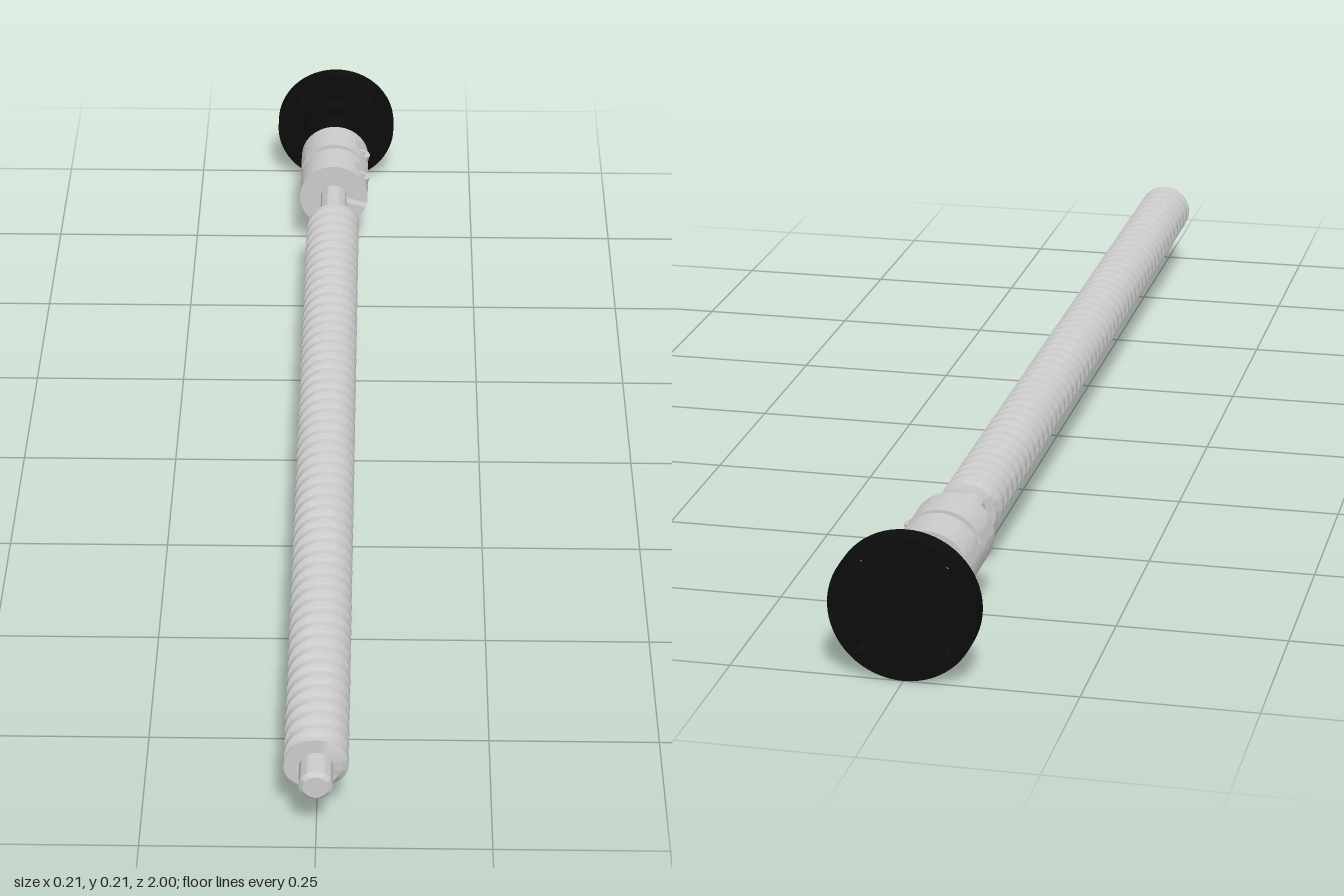
import * as THREE from 'three';
import { mergeGeometries, toCreasedNormals } from 'three/addons/utils/BufferGeometryUtils.js';

const steel = new THREE.MeshStandardMaterial({ color: 0xcccccc });
const black = new THREE.MeshStandardMaterial({ color: 0x0c0c0c });

function add(parent, name, geometry, material) {
  const mesh = new THREE.Mesh(geometry, material);
  mesh.name = name;
  parent.add(mesh);
  return mesh;
}

// Turned part along z; points are [radius, z] with z ascending
function turned(points, segments = 48) {
  const g = new THREE.LatheGeometry(points.map(([r, z]) => new THREE.Vector2(r, z)), segments);
  g.rotateX(Math.PI / 2);
  return toCreasedNormals(g, 0.5);
}

// Right-handed thread with a rounded groove, closed by flat ends
function threadGeometry(z0, z1) {
  const R = 0.046, depth = 0.011, pitch = 0.0308, land = 0.36, seg = 40, groove = 6;
  const radius = (z, a) => {
    let f = (z - z0) / pitch - a / (2 * Math.PI);
    f -= Math.floor(f + 1e-6);
    return f <= land ? R : R - depth * Math.max(0, Math.sin(Math.PI * (f - land) / (1 - land)));
  };
  const phases = [0];
  for (let k = 0; k < groove; k++) phases.push(land + (1 - land) * k / groove);
  const pos = [], idx = [], turns = Math.ceil((z1 - z0) / pitch);
  const put = (z, a) => {
    const r = radius(z, a);
    pos.push(r * Math.cos(a), r * Math.sin(a), z);
  };
  let rows = 0;
  for (let t = -1; t <= turns; t++) {
    for (const f of phases) {
      for (let j = 0; j <= seg; j++) {
        const z = z0 + (t + f + j / seg) * pitch;
        put(Math.min(z1, Math.max(z0, z)), (j / seg) * 2 * Math.PI);
      }
      rows++;
    }
  }
  const w = seg + 1;
  for (let i = 0; i < rows - 1; i++) {
    for (let j = 0; j < seg; j++) {
      const a = i * w + j, b = a + 1, c = a + w, d = c + 1;
      idx.push(a, b, c, b, d, c);
    }
  }
  for (const z of [z0, z1]) {
    const c = pos.length / 3;
    pos.push(0, 0, z);
    for (let j = 0; j <= seg; j++) put(z, (j / seg) * 2 * Math.PI);
    for (let j = 1; j <= seg; j++) {
      if (z === z1) idx.push(c, c + j, c + j + 1);
      else idx.push(c, c + j + 1, c + j);
    }
  }
  const g = new THREE.BufferGeometry();
  g.setAttribute('position', new THREE.Float32BufferAttribute(pos, 3));
  g.setIndex(idx);
  return toCreasedNormals(g, 0.7);
}

// Coupling dimensions: x is the direction of the clamping slot
const OUT = 0.061, BORE = 0.0235, SLOT = 0.005;
const SCREW_X = 0.041, SEAT_Y = 0.025, SEAT_R = 0.018, TIP_R = 0.007, TIP_Y = -0.028;

function arc(points, r, a0, a1, n) {
  for (let i = 0; i <= n; i++) {
    const a = a0 + (a1 - a0) * i / n;
    points.push(new THREE.Vector2(r * Math.cos(a), r * Math.sin(a)));
  }
}

// Slotted ring section, notched for the screw seat (w) and the screw tip hole (t)
function clampSection(w, t) {
  const p = [], a0 = Math.asin(SLOT / OUT), b0 = Math.asin(SLOT / BORE);
  let from = a0;
  if (w > 0) {
    const edge = Math.sqrt(OUT * OUT - SEAT_Y * SEAT_Y);
    const right = Math.min(SCREW_X + w, edge), left = SCREW_X - w;
    arc(p, OUT, a0, Math.acos(right / OUT), 5);
    if (right < edge) p.push(new THREE.Vector2(right, SEAT_Y));
    p.push(new THREE.Vector2(left, SEAT_Y));
    from = Math.acos(left / OUT);
  }
  if (t > 0) {
    arc(p, OUT, from, 2 * Math.PI - Math.acos((SCREW_X - t) / OUT), 40);
    p.push(new THREE.Vector2(SCREW_X - t, TIP_Y), new THREE.Vector2(SCREW_X + t, TIP_Y));
    from = 2 * Math.PI - Math.acos((SCREW_X + t) / OUT);
  }
  arc(p, OUT, from, 2 * Math.PI - a0, t > 0 ? 6 : 48);
  arc(p, BORE, 2 * Math.PI - b0, b0, 32);
  return new THREE.Shape(p);
}

function slab(shape, z0, z1) {
  const g = new THREE.ExtrudeGeometry(shape, { depth: z1 - z0, bevelEnabled: false, curveSegments: 32 });
  g.translate(0, 0, z0);
  return toCreasedNormals(g, 0.5);
}

// Clamp half sliced along z so the round screw seat is really cut out
function clampGeometry(half) {
  const cuts = [-half, half];
  for (let i = 0; i <= 16; i++) cuts.push(-SEAT_R * Math.cos(Math.PI * i / 16));
  for (let i = 0; i <= 6; i++) cuts.push(-TIP_R * Math.cos(Math.PI * i / 6));
  cuts.sort((a, b) => a - b);
  const parts = [];
  for (let i = 0; i < cuts.length - 1; i++) {
    if (cuts[i + 1] - cuts[i] < 1e-5) continue;
    const m = (cuts[i] + cuts[i + 1]) / 2;
    const chord = r => Math.sqrt(Math.max(0, r * r - m * m));
    parts.push(slab(clampSection(chord(SEAT_R), chord(TIP_R)), cuts[i], cuts[i + 1]));
  }
  return mergeGeometries(parts);
}

function createCoupling() {
  const coupling = new THREE.Group();
  coupling.name = 'shaftCoupling';
  const half = 0.0355, mid = -0.7825, gap = 0.006;
  const clamp = clampGeometry(half);

  // Socket head: hexagonal recess in a round cap
  const cap = new THREE.Shape().absarc(0, 0, 0.0145, 0, Math.PI * 2);
  const hex = [];
  arc(hex, 0.0075, 0, Math.PI * 5 / 3, 5);
  cap.holes.push(new THREE.Path(hex));
  const head = slab(cap, 0, 0.014).rotateX(-Math.PI / 2);
  const socketFloor = new THREE.CylinderGeometry(0.01, 0.01, 0.004, 24);

  for (const side of [-1, 1]) {
    const z = mid + side * (half + gap);
    add(coupling, 'clampHalf', clamp, steel).position.z = z;
    add(coupling, 'screwHead', head, steel).position.set(SCREW_X, SEAT_Y, z);
    add(coupling, 'screwSocketFloor', socketFloor, steel).position.set(SCREW_X, SEAT_Y + 0.003, z);
    const shank = new THREE.CylinderGeometry(0.006, 0.006, 0.055, 16);
    add(coupling, 'screwShank', shank, steel).position.set(SCREW_X, -0.002, z);
  }

  // Lower web joining the halves; the upper part stays open as a cross slit
  const web = [], a = Math.asin(SLOT / OUT), b = Math.asin(SLOT / BORE);
  arc(web, OUT, Math.PI, 2 * Math.PI - a, 32);
  arc(web, BORE, 2 * Math.PI - b, Math.PI, 24);
  add(coupling, 'couplingWeb', slab(new THREE.Shape(web), mid - gap, mid + gap), steel);
  coupling.rotation.z = -0.28;
  return coupling;
}

function createMount() {
  const mount = new THREE.Group();
  mount.name = 'mount';
  const plate = new THREE.Shape().absarc(0, 0, 0.107, 0, Math.PI * 2);
  for (const x of [-0.061, 0.061]) {
    for (const y of [-0.061, 0.061]) {
      plate.holes.push(new THREE.Path().absarc(x, y, 0.008, 0, Math.PI * 2, true));
    }
  }
  add(mount, 'mountFlange', slab(plate, -1, -0.97), black);
  add(mount, 'mountHub', turned([
    [0, -0.975], [0.06, -0.975], [0.06, -0.937], [0.042, -0.937], [0.042, -0.897],
    [0.0225, -0.897], [0.0225, -0.79], [0, -0.79],
  ]), black);
  return mount;
}

export function createModel() {
  const model = new THREE.Group();
  model.name = 'ballScrewAssembly';

  add(model, 'threadedShaft', threadGeometry(-0.605, 0.952), steel);
  // Plain journals at both ends, the front one chamfered
  add(model, 'frontJournal', turned([[0, 0.94], [0.024, 0.94], [0.024, 0.994], [0.018, 1], [0, 1]]), steel);
  add(model, 'rearJournal', turned([[0, -0.775], [0.023, -0.775], [0.023, -0.6], [0, -0.6]]), steel);
  model.add(createCoupling(), createMount());

  for (const part of model.children) part.position.y = 0.107;
  return model;
}
